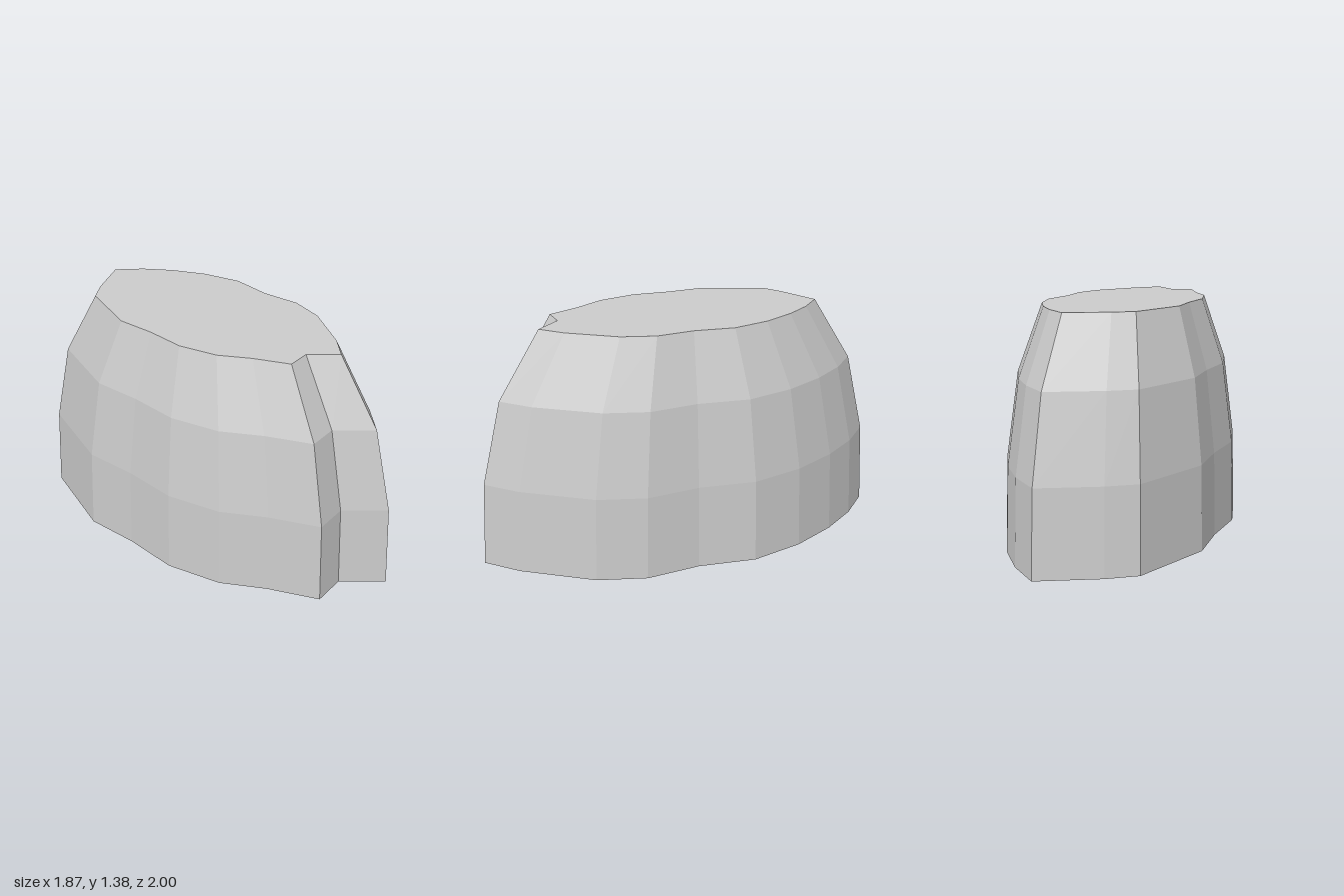
import * as THREE from 'three';

// Footprint [x, z], running back-left to right to front
const OUTLINE = [
  [-0.72, -1.0], [-0.47, -0.98], [-0.21, -0.91], [0.07, -0.785], [0.34, -0.59],
  [0.53, -0.30], [0.76, -0.07], [0.88, 0.20], [0.93, 0.66], [0.91, 0.90],
  [0.635, 0.86], [0.49, 1.0], [0.21, 0.865], [-0.06, 0.77], [-0.33, 0.57],
  [-0.53, 0.30], [-0.75, 0.06], [-0.935, -0.46], [-0.88, -0.65],
];

// Height and scale of each ring
const RINGS = [[0, 1], [0.5, 0.98], [0.99, 0.887], [1.38, 0.69]];

function loftGeometry() {
  const n = OUTLINE.length;
  const positions = [];
  const index = [];
  for (const [y, s] of RINGS) {
    for (const [x, z] of OUTLINE) positions.push(x * s, y, z * s);
  }
  const top = (RINGS.length - 1) * n;
  const bottomCentre = RINGS.length * n;
  const topCentre = bottomCentre + 1;
  positions.push(0, 0, 0, 0, RINGS[RINGS.length - 1][0], 0);

  for (let i = 0; i < n; i++) {
    const j = (i + 1) % n;
    // Side walls
    for (let r = 0; r < top; r += n) {
      index.push(r + i, r + n + i, r + j, r + j, r + n + i, r + n + j);
    }
    // Flat base and top
    index.push(bottomCentre, i, j, topCentre, top + j, top + i);
  }
  const indexed = new THREE.BufferGeometry();
  indexed.setAttribute('position', new THREE.Float32BufferAttribute(positions, 3));
  indexed.setIndex(index);
  const geometry = indexed.toNonIndexed();
  geometry.computeVertexNormals();
  return geometry;
}

export function createModel() {
  const group = new THREE.Group();
  group.name = 'rock';
  const stone = new THREE.MeshStandardMaterial({ color: 0xcccccc, flatShading: true });
  stone.name = 'stone grey';
  const body = new THREE.Mesh(loftGeometry(), stone);
  body.name = 'rockBody';
  group.add(body);
  return group;
}
